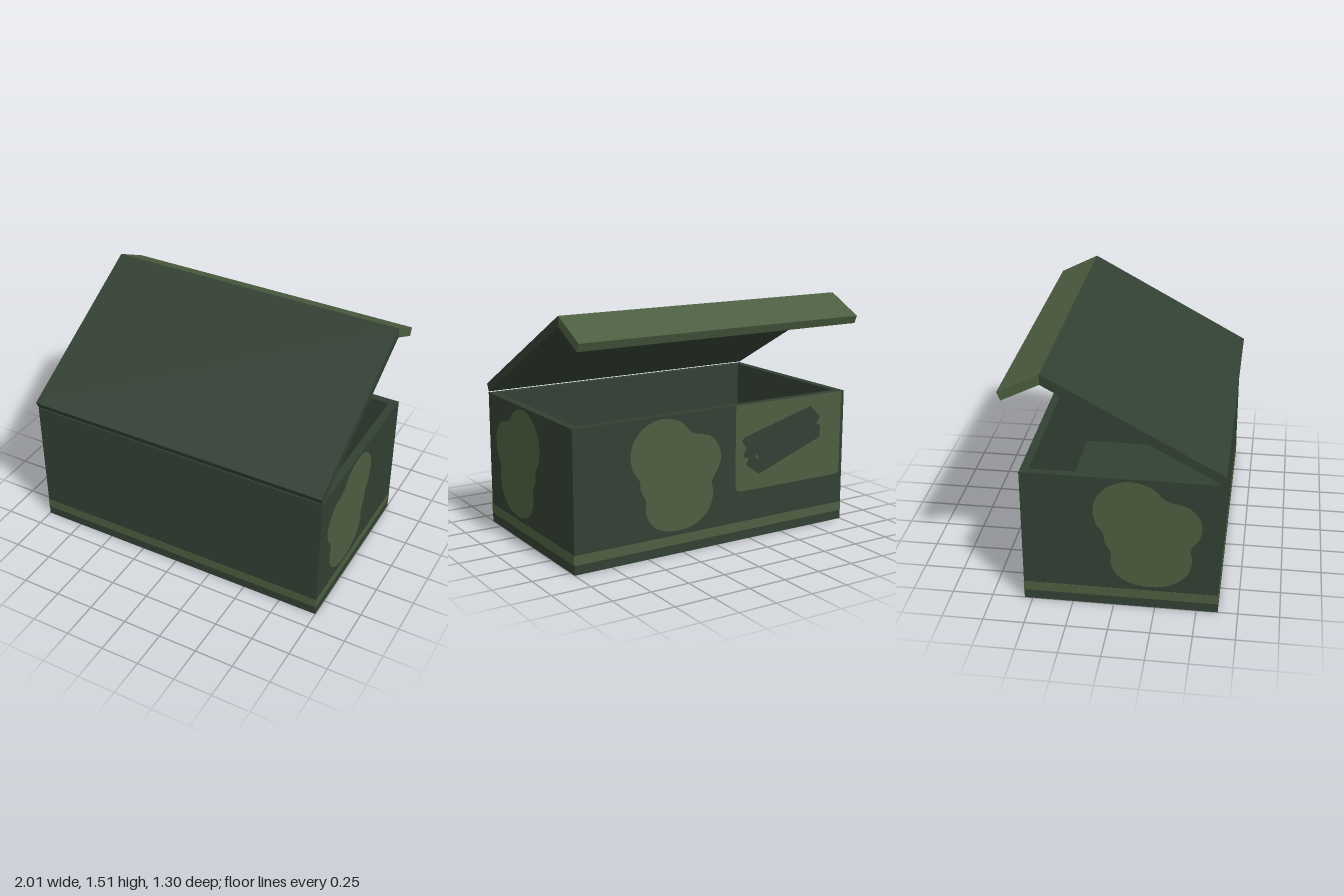
import * as THREE from 'three';

export function createModel() {
  const root = new THREE.Group();
  const dark = new THREE.MeshStandardMaterial({ color: 0x324033 });
  dark.name = 'dark green';
  const light = new THREE.MeshStandardMaterial({ color: 0x4c5e40 });
  light.name = 'olive green';

  const W = 2, H = 0.88, BACK = -0.55, FRONT = 0.63, T = 0.05;
  const D = FRONT - BACK, MID = (FRONT + BACK) / 2;

  function add(name, geometry, material, parent = root) {
    const mesh = new THREE.Mesh(geometry, material);
    mesh.name = name;
    parent.add(mesh);
    return mesh;
  }
  function box(name, w, h, d, x, y, z, material) {
    add(name, new THREE.BoxGeometry(w, h, d), material).position.set(x, y, z);
  }

  // Open crate
  box('floor', W, T, D, 0, T / 2, MID, dark);
  box('frontWall', W, H - T, T, 0, (H + T) / 2, FRONT - T / 2, dark);
  box('backWall', W, H - T, T, 0, (H + T) / 2, BACK + T / 2, dark);
  for (const s of [-1, 1]) {
    box(s > 0 ? 'leftWall' : 'rightWall', T, H - T, D - 2 * T, s * (W / 2 - T / 2), (H + T) / 2, MID, dark);
  }

  // Painted stripe around the base
  const e = 0.002;
  for (const z of [FRONT, BACK]) box('baseStripe', W, 0.06, 2 * e, 0, 0.09, z, light);
  for (const x of [-1, 1]) box('baseStripe', 2 * e, 0.06, D, x, 0.09, MID, light);

  // Raised lid and its folded back flap: (z, y) profiles swept across the width
  function sweep(name, profile, material) {
    const shape = new THREE.Shape(profile.map(([z, y]) => new THREE.Vector2(z, y)));
    const g = new THREE.ExtrudeGeometry(shape, { depth: W, bevelEnabled: false });
    g.translate(0, 0, -W / 2).rotateY(-Math.PI / 2);
    add(name, g, material);
  }
  sweep('lid', [[0.652, 0.934], [0.627, 0.886], [-0.405, 1.446], [-0.405, 1.51]], dark);
  sweep('lidFlap', [[-0.405, 1.51], [-0.405, 1.446], [-0.63, 1.336], [-0.652, 1.386]], light);

  // Flat painted shapes, given as outlines in each wall's own axes
  const sides = {
    left: { turn: Math.PI / 2, flip: -1, at: d => [1 + d, 0, 0] },
    right: { turn: -Math.PI / 2, flip: 1, at: d => [-1 - d, 0, 0] },
    back: { turn: Math.PI, flip: -1, at: d => [0, 0, BACK - d] },
    innerFront: { turn: Math.PI, flip: -1, at: d => [0, 0, FRONT - T - d] },
  };
  function paint(name, points, side, lift, material, hole) {
    const { turn, flip, at } = sides[side];
    const toVectors = list => list.map(([h, y]) => new THREE.Vector2(flip * h, y));
    const shape = new THREE.Shape(toVectors(points));
    if (hole) shape.holes.push(new THREE.Path(toVectors(hole)));
    const mesh = add(name, new THREE.ShapeGeometry(shape), material);
    mesh.rotation.y = turn;
    mesh.position.set(...at(lift));
  }

  // Camouflage patches on both ends and the back
  const outline = [
    [0.105, 0.865], [-0.015, 0.832], [-0.095, 0.752], [-0.12, 0.664], [-0.1, 0.564], [-0.06, 0.508],
    [-0.05, 0.44], [-0.015, 0.372], [-0.015, 0.292], [0.035, 0.204], [0.125, 0.16], [0.225, 0.148],
    [0.345, 0.172], [0.44, 0.252], [0.47, 0.352], [0.46, 0.428], [0.51, 0.512], [0.525, 0.58],
    [0.505, 0.652], [0.445, 0.716], [0.345, 0.744], [0.3, 0.764], [0.235, 0.828],
  ];
  const curve = new THREE.CatmullRomCurve3(outline.map(([a, b]) => new THREE.Vector3(a, b, 0)), true);
  const patch = curve.getPoints(92).slice(0, -1).map(p => [p.x, p.y]);
  paint('camouflagePatch', patch, 'left', 0.003, light);
  paint('camouflagePatch', patch, 'right', 0.003, light);
  paint('camouflagePatch', patch.map(([z, y]) => [0.5 - z, y]), 'back', 0.003, light);

  // Back panel with a worn mark
  paint('backPanel', [
    [-0.136, H], [-0.975, H], [-0.975, 0.345], [-0.965, 0.328], [-0.945, 0.32],
    [-0.175, 0.32], [-0.148, 0.332], [-0.136, 0.36],
  ], 'back', 0.003, light);
  paint('wornMark', [
    [-0.18, 0.65], [-0.2, 0.67], [-0.72, 0.81], [-0.8, 0.73], [-0.77, 0.685], [-0.805, 0.672],
    [-0.8, 0.594], [-0.315, 0.417], [-0.214, 0.49], [-0.235, 0.53], [-0.19, 0.545], [-0.215, 0.6],
  ], 'back', 0.006, dark, [[-0.285, 0.535], [-0.32, 0.5], [-0.3, 0.55]]);

  // Small patch low inside the front wall
  paint('innerPatch', [[-0.15, 0.33], [-0.15, T], [0.1, T], [0.1, 0.27]], 'innerFront', 0.003, light);

  return root;
}
